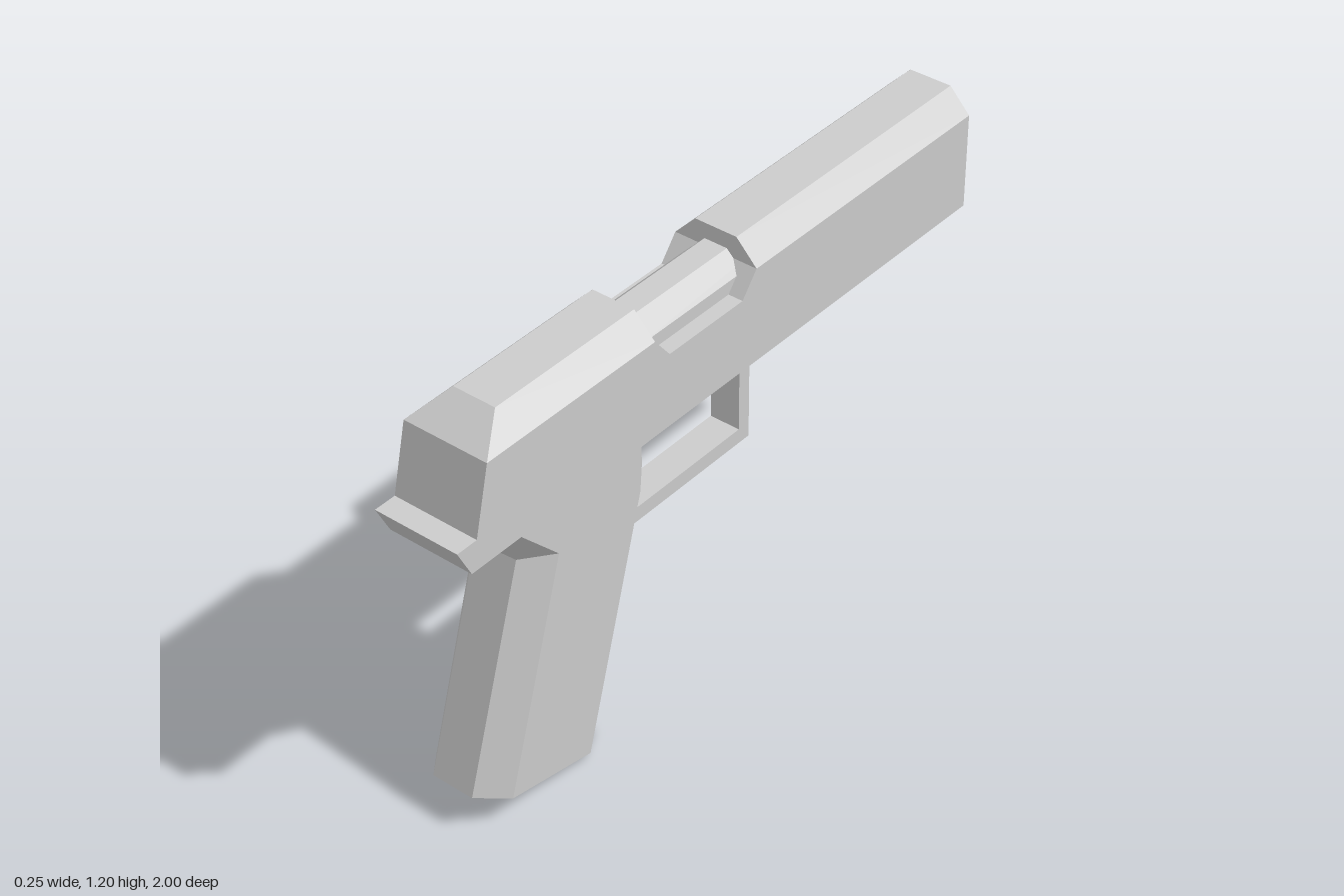
import * as THREE from 'three';

const material = new THREE.MeshStandardMaterial({ color: 0xcccccc, flatShading: true });
const HALF = 0.125;  // half width of the side faces
const SPINE = 0.063; // half width of the middle band between the bevels

// Body profile as [z, y] on the middle band, then [z, y] on the side face
const PROFILE = [
  // rear lip and back of the slide
  [1.0, 0.94, 1.0, 0.94],
  [0.935, 0.94, 0.935, 0.94],
  [0.89, 1.13, 0.89, 1.13],
  [0.79, 1.195, 0.89, 1.13],
  // port cut in the top
  [0.31, 1.195, 0.31, 1.13],
  [0.31, 1.13, 0.31, 1.13],
  [0.257, 1.065, 0.257, 1.065],
  [-0.017, 1.065, -0.017, 1.065],
  [-0.07, 1.13, -0.07, 1.13],
  [-0.07, 1.195, -0.07, 1.13],
  // far end and underside
  [-0.95, 1.195, -0.95, 1.13],
  [-0.95, 0.795, -0.95, 0.855],
  [0.29, 0.795, 0.37, 0.855],
  // grip
  [0.29, 0.725, 0.37, 0.725],
  [0.493, 0.0, 0.575, 0.023],
  [0.937, 0.105, 0.86, 0.083],
  [0.745, 0.725, 0.665, 0.725],
  [0.81, 0.795, 0.79, 0.855],
  // underside of the rear lip
  [0.9, 0.795, 0.957, 0.855],
  [0.957, 0.855, 0.957, 0.855],
];

function bodyGeometry() {
  const side = (x) => PROFILE.map((p) => new THREE.Vector3(x, p[3], p[2]));
  const band = (x) => PROFILE.map((p) => new THREE.Vector3(x, p[1], p[0]));
  const rings = [side(-HALF), band(-SPINE), band(SPINE), side(HALF)];
  const out = [];
  const normal = new THREE.Vector3();
  // Adds a triangle, skipping empty ones; facing (-1 or 1) turns it towards that side in x
  const tri = (a, b, c, facing = 0) => {
    normal.crossVectors(b.clone().sub(a), c.clone().sub(a));
    if (normal.length() < 1e-7) return;
    if (facing * normal.x < 0) [b, c] = [c, b];
    out.push(a, b, c);
  };

  // Bevels and middle band
  const n = PROFILE.length;
  for (let j = 0; j < 3; j++) {
    for (let i = 0; i < n; i++) {
      const k = (i + 1) % n;
      tri(rings[j][i], rings[j + 1][i], rings[j + 1][k]);
      tri(rings[j][i], rings[j + 1][k], rings[j][k]);
    }
  }
  // Flat side faces
  const outline = PROFILE.map((p) => new THREE.Vector2(p[2], p[3]));
  for (const [a, b, c] of THREE.ShapeUtils.triangulateShape(outline, [])) {
    tri(rings[0][a], rings[0][b], rings[0][c], -1);
    tri(rings[3][a], rings[3][b], rings[3][c], 1);
  }
  const geometry = new THREE.BufferGeometry().setFromPoints(out);
  geometry.computeVertexNormals();
  return geometry;
}

// Eight-sided barrel with a shallow bore, running towards -z
function barrelGeometry() {
  const points = [[0.089, -0.33], [0.089, 1], [0.057, 1], [0.057, 0.95], [0, 0.95]]
    .map(([r, y]) => new THREE.Vector2(r, y));
  return new THREE.LatheGeometry(points, 8, Math.PI / 8)
    .rotateX(-Math.PI / 2)
    .translate(0, 1.068, 0);
}

// L-shaped guard drawn in (z, y) and extruded across x
function guardGeometry() {
  const shape = new THREE.Shape(
    [[0.4, 0.54], [0.4, 0.583], [-0.11, 0.583], [-0.11, 0.81], [-0.15, 0.81], [-0.15, 0.54]]
      .map(([z, y]) => new THREE.Vector2(-z, y))
  );
  return new THREE.ExtrudeGeometry(shape, { depth: 0.09, bevelEnabled: false })
    .translate(0, 0, -0.045)
    .rotateY(Math.PI / 2);
}

export function createModel() {
  const model = new THREE.Group();
  const add = (name, geometry) => {
    const mesh = new THREE.Mesh(geometry, material);
    mesh.name = name;
    model.add(mesh);
  };
  add('body', bodyGeometry());
  add('barrel', barrelGeometry());
  add('triggerGuard', guardGeometry());
  return model;
}
